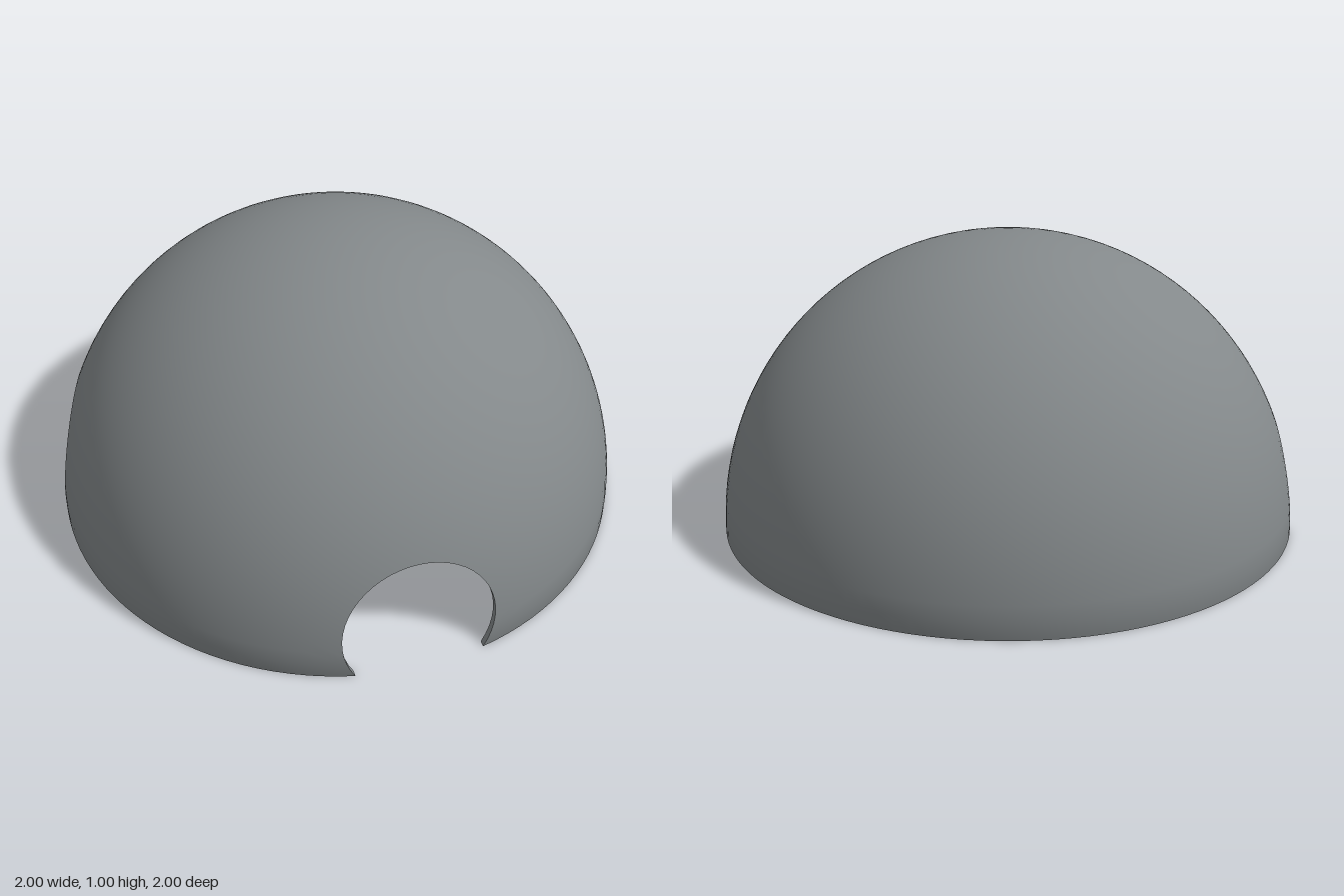
import * as THREE from 'three';
import { mergeGeometries } from 'three/addons/utils/BufferGeometryUtils.js';

const OUTER = 1, INNER = 0.98;             // shell radii
const HOLE_R = 0.25, HOLE_Y = 0.133;       // round openings, cut off by the base
const STEP = THREE.MathUtils.degToRad(3);  // grid step of the dome
const COLS = 120, ROWS = 30, HALF = 7, HIGH = 10; // dome grid, patch half width and height
const ARC = 2 * HIGH + 2 * HALF;           // segments round an opening
const RINGS = 6;                           // rings between opening and patch edge
const AZ = THREE.MathUtils.degToRad(27.5); // azimuth of the first opening, from +x towards +z
const HOLES = [0, 35];                     // opening centres in grid columns after AZ

const onSphere = (r, az, el) => new THREE.Vector3(
  r * Math.cos(el) * Math.cos(az), r * Math.sin(el), r * Math.cos(el) * Math.sin(az));

// Grid of quads; the surface faces (j direction) x (i direction), or opposite when flipped.
function grid(point, ni, nj, flip = false, normal = null) {
  const pos = [], nor = [], index = [];
  for (let i = 0; i <= ni; i++) for (let j = 0; j <= nj; j++) {
    const p = point(i, j);
    pos.push(p.x, p.y, p.z);
    if (normal) nor.push(...normal(p).toArray());
    if (i === ni || j === nj) continue;
    const a = i * (nj + 1) + j, b = a + 1, d = a + nj + 1, c = d + 1;
    index.push(...(flip ? [a, c, b, a, d, c] : [a, b, c, a, c, d]));
  }
  const g = new THREE.BufferGeometry();
  g.setAttribute('position', new THREE.Float32BufferAttribute(pos, 3));
  g.setIndex(index);
  if (normal) g.setAttribute('normal', new THREE.Float32BufferAttribute(nor, 3));
  else g.computeVertexNormals();
  return g;
}

// Smooth dome normals, slightly softened towards the base edge
const outward = (p) => {
  const n = p.clone().normalize();
  n.y -= 0.18 * Math.max(0, 1 - p.y / 0.1);
  return n.normalize();
};
const inward = (p) => p.clone().normalize().negate();

// Angles (offset azimuth, elevation) of point k on the edge of an opening
function holeEdge(k, r) {
  const start = -Math.asin(HOLE_Y / HOLE_R);
  const t = start + (Math.PI - 2 * start) * k / ARC;
  const el = Math.asin(Math.max(0, HOLE_Y + HOLE_R * Math.sin(t)) / r);
  return [Math.asin(HOLE_R * Math.cos(t) / (r * Math.cos(el))), el];
}

// Angles of point k on the rectangular border of the patch round an opening
function patchEdge(k) {
  if (k <= HIGH) return [HALF * STEP, k * STEP];
  if (k <= HIGH + 2 * HALF) return [(HALF + HIGH - k) * STEP, HIGH * STEP];
  return [-HALF * STEP, (ARC - k) * STEP];
}

function patchPoint(hole, i, k, r) {
  const a = holeEdge(k, r), b = patchEdge(k), f = i / RINGS;
  return onSphere(r, AZ + hole * STEP + a[0] + (b[0] - a[0]) * f, a[1] + (b[1] - a[1]) * f);
}

// One skin of the dome: cap, plain wall between the openings, patches round them
function skin(r, flip, normal) {
  const band = (c0, c1, r0, r1) => grid(
    (i, j) => onSphere(r, AZ + (c0 + i) * STEP, (r0 + j) * STEP), c1 - c0, r1 - r0, flip, normal);
  const parts = [band(0, COLS, HIGH, ROWS)];
  HOLES.forEach((h, n) => {
    const next = n + 1 < HOLES.length ? HOLES[n + 1] : HOLES[0] + COLS;
    parts.push(band(h + HALF, next - HALF, 0, HIGH));
    parts.push(grid((i, k) => patchPoint(h, i, k, r), RINGS, ARC, flip, normal));
  });
  return mergeGeometries(parts);
}

// Flat ring under the dome, interrupted by the openings
function baseRim() {
  const radius = (i) => (i ? INNER : OUTER), parts = [];
  HOLES.forEach((h, n) => {
    const next = n + 1 < HOLES.length ? HOLES[n + 1] : HOLES[0] + COLS;
    const from = h + HALF;
    parts.push(grid((i, j) => onSphere(radius(i), AZ + (from + j) * STEP, 0), 1, next - HALF - from));
    parts.push(grid((i, j) => patchPoint(h, j, 0, radius(i)), 1, RINGS));
    parts.push(grid((i, j) => patchPoint(h, j, ARC, radius(i)), 1, RINGS, true));
  });
  return mergeGeometries(parts);
}

export function createModel() {
  const grey = new THREE.MeshStandardMaterial({ color: 0x83888a });
  grey.name = 'slate grey';
  const model = new THREE.Group();
  model.name = 'domeShell';
  const add = (name, geometry) => {
    const mesh = new THREE.Mesh(geometry, grey);
    mesh.name = name;
    model.add(mesh);
  };
  add('outerDome', skin(OUTER, false, outward));
  add('innerDome', skin(INNER, true, inward));
  add('baseRim', baseRim());
  // Cut edges of the two openings
  HOLES.forEach((h, n) => add(n ? 'rightOpeningEdge' : 'leftOpeningEdge',
    grid((i, k) => patchPoint(h, 0, k, i ? OUTER : INNER), 1, ARC)));
  return model;
}
